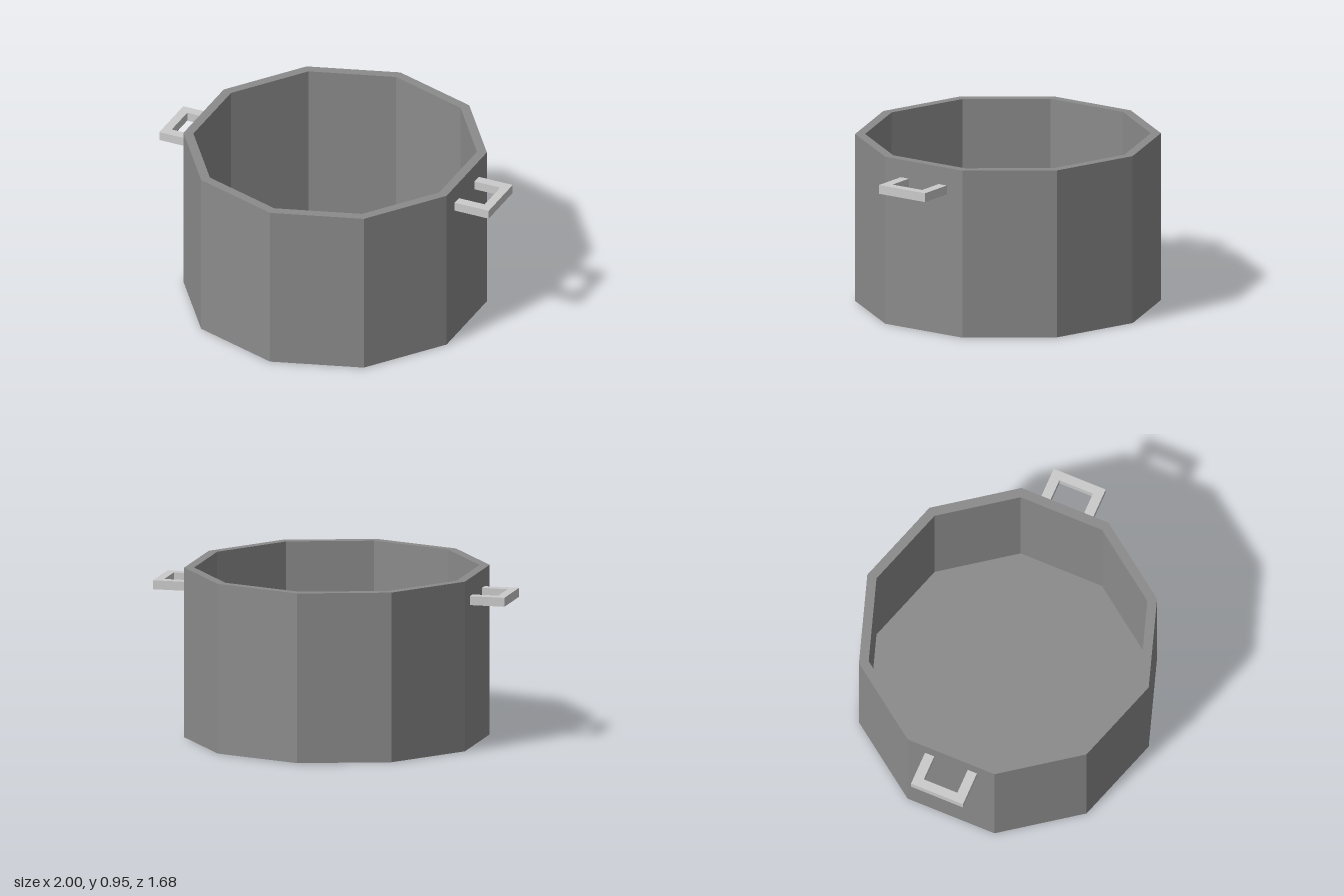
import * as THREE from 'three';

const SIDES = 10;

function material(color) {
  return new THREE.MeshStandardMaterial({ color, flatShading: true });
}

export function createModel() {
  const model = new THREE.Group();
  const add = (name, geometry, mat) => {
    const mesh = new THREE.Mesh(geometry, mat);
    mesh.name = name;
    model.add(mesh);
    return mesh;
  };

  // Ten-sided open pot: base, outer wall, rim, inner wall, floor
  const profile = [[0, 0.002], [0.84, 0.002], [0.84, 0.95], [0.785, 0.95], [0.785, 0.05], [0, 0.05]]
    .map(([r, y]) => new THREE.Vector2(r, y));
  const pot = add('potBody', new THREE.LatheGeometry(profile, SIDES), material(0x8b8b8b));
  pot.position.x = -0.005;

  // Darker flat ring on the underside
  const ring = new THREE.RingGeometry(0.45, 0.66, SIDES, 1, Math.PI / 2);
  ring.rotateX(Math.PI / 2);
  add('baseRing', ring, material(0x7b7b7b)).position.x = -0.005;

  // Square U-shaped handles, ends set into the wall
  const outline = [[0.78, -0.155], [1, -0.155], [1, 0.155], [0.78, 0.155],
    [0.78, 0.1], [0.95, 0.1], [0.95, -0.1], [0.78, -0.1]]
    .map(([x, z]) => new THREE.Vector2(x, z));
  const handle = new THREE.ExtrudeGeometry(new THREE.Shape(outline), { depth: 0.05, bevelEnabled: false });
  handle.rotateX(-Math.PI / 2);
  const handleMaterial = material(0xcccccc);
  for (const [name, turn] of [['leftHandle', 0], ['rightHandle', Math.PI]]) {
    const mesh = add(name, handle, handleMaterial);
    mesh.rotation.y = turn;
    mesh.position.y = 0.8;
  }

  return model;
}
